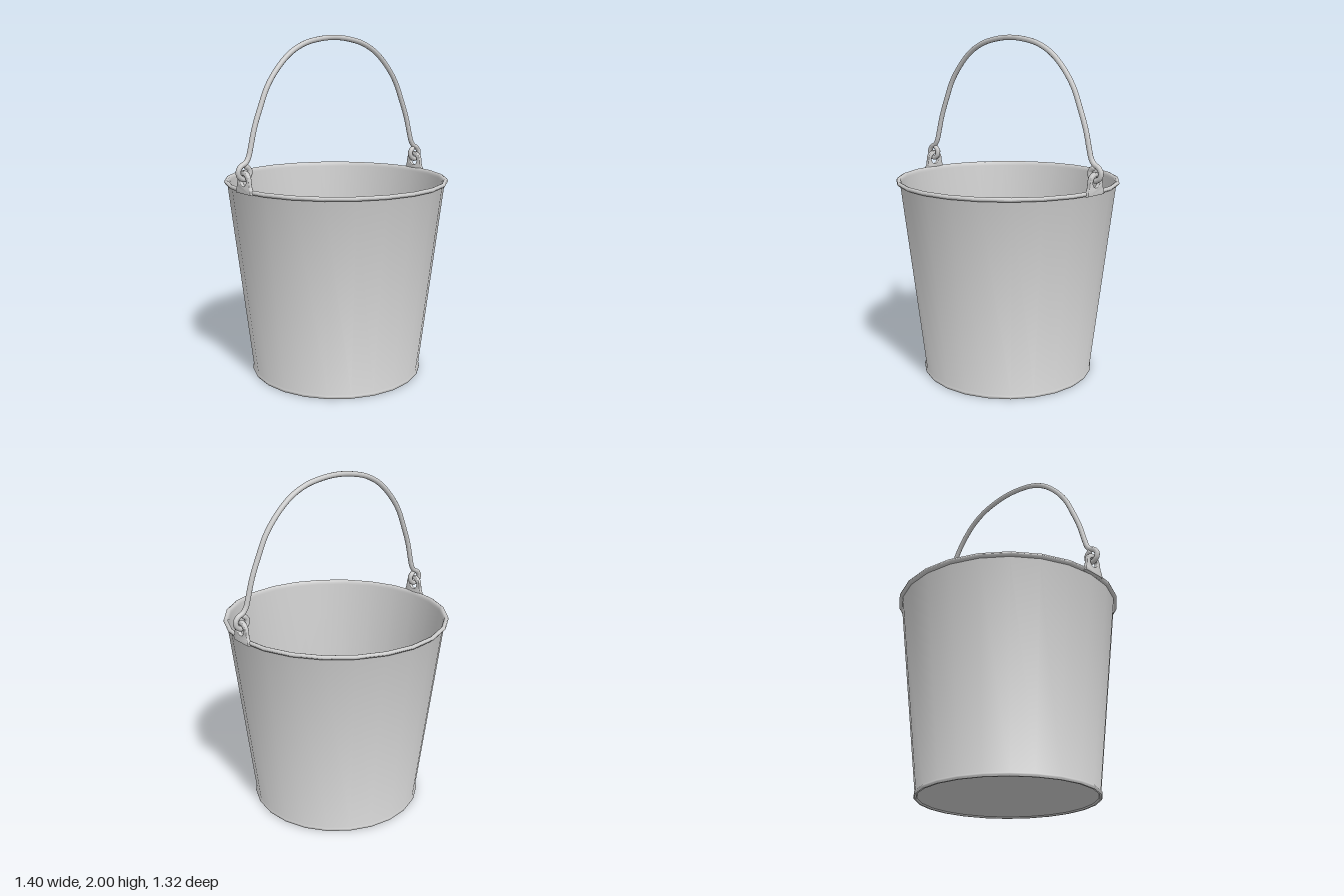
import * as THREE from 'three';
import { toCreasedNormals } from 'three/addons/utils/BufferGeometryUtils.js';

const material = new THREE.MeshStandardMaterial({ color: 0xcccccc });

function part(name, geometry) {
  const mesh = new THREE.Mesh(geometry, material);
  mesh.name = name;
  return mesh;
}

// Tapered pail: underside, foot bead, outer wall, rolled rim, inner wall, floor
function makePail() {
  const profile = [
    [0, 0.008], [0.495, 0.008], [0.5, 0], [0.51, 0], [0.515, 0.008], [0.514, 0.016], [0.508, 0.024],
    [0.64, 1.15], [0.652, 1.152], [0.659, 1.162], [0.656, 1.172], [0.647, 1.176], [0.637, 1.172],
    [0.632, 1.16], [0.63, 1.15], [0.478, 0.03], [0, 0.03],
  ].map(([r, y]) => new THREE.Vector2(r, y));
  return part('pail', toCreasedNormals(new THREE.LatheGeometry(profile, 24), 0.9));
}

// Upright lug with an eye, flaring into the rim
function makeLug(side) {
  const eyeY = 1.222, r = 0.055;
  const shape = new THREE.Shape();
  shape.moveTo(-0.072, 1.15);
  shape.lineTo(0.072, 1.15);
  shape.lineTo(0.07, 1.175);
  shape.quadraticCurveTo(0.058, 1.185, r, eyeY);
  shape.absarc(0, eyeY, r, 0, Math.PI, false);
  shape.quadraticCurveTo(-0.058, 1.185, -0.07, 1.175);
  shape.closePath();
  const eye = new THREE.Path();
  eye.absarc(0, eyeY, 0.03, 0, Math.PI * 2, true);
  shape.holes.push(eye);
  const geometry = new THREE.ExtrudeGeometry(shape, {
    depth: 0.014, bevelThickness: 0.005, bevelSize: 0.004, bevelOffset: -0.004, bevelSegments: 2, curveSegments: 10,
  });
  geometry.translate(0, 0, -0.007).rotateY(Math.PI / 2);
  const lug = part(side > 0 ? 'leftLug' : 'rightLug', toCreasedNormals(geometry, 0.8));
  lug.position.set(side * 0.648, 0, 0.008);
  return lug;
}

// Wire bail: one rod whose ends hook through the eyes of the lugs
function makeHandle() {
  const half = [
    [0.632, 1.297], [0.612, 1.278], [0.617, 1.247], [0.648, 1.229], [0.679, 1.246], [0.685, 1.276],
    [0.666, 1.302], [0.638, 1.316], [0.617, 1.345], [0.603, 1.39], [0.573, 1.5], [0.53, 1.61],
    [0.48, 1.72], [0.41, 1.815], [0.32, 1.898], [0.22, 1.95], [0.11, 1.976],
  ];
  // The bail leans back slightly towards its top
  const point = (x, y) => new THREE.Vector3(x, y, 0.008 - (y - 1.23) * 0.024);
  const path = [
    ...half.map(([x, y]) => point(x, y)),
    point(0, 1.985),
    ...half.slice().reverse().map(([x, y]) => point(-x, y)),
  ];
  const curve = new THREE.CatmullRomCurve3(path);
  const handle = new THREE.Group();
  handle.name = 'handle';
  handle.add(part('handleRod', new THREE.TubeGeometry(curve, 160, 0.015, 10)));
  // Rounded tips close the rod ends
  for (const [name, tip] of [['leftTip', path[0]], ['rightTip', path[path.length - 1]]]) {
    const cap = part(name, new THREE.SphereGeometry(0.015, 10, 8));
    cap.position.copy(tip);
    handle.add(cap);
  }
  return handle;
}

export function createModel() {
  const bucket = new THREE.Group();
  bucket.name = 'bucket';
  bucket.add(makePail(), makeLug(1), makeLug(-1), makeHandle());
  return bucket;
}
